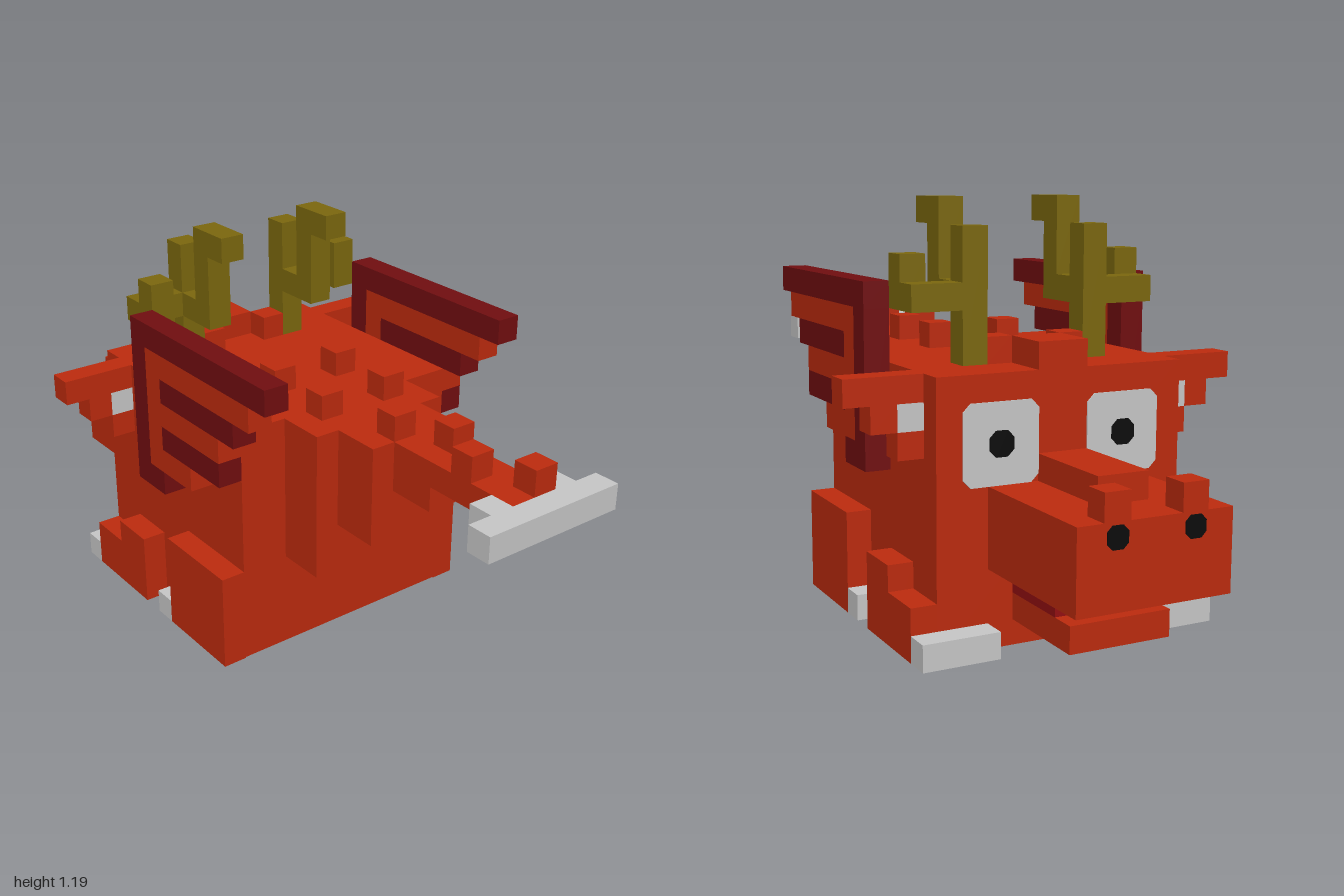
import * as THREE from 'three';

const U = 2 / 27; // size of one block
const mat = (name, color) => {
  const m = new THREE.MeshStandardMaterial({ color });
  m.name = name;
  return m;
};

export function createModel() {
  const root = new THREE.Group();
  root.name = 'blockDragon';
  const red = mat('red', 0xbe2b0e), wine = mat('wine', 0x720e10), mouthRed = mat('mouth red', 0x940f12);
  const gold = mat('olive gold', 0x7c680e), grey = mat('light grey', 0xc8c8c8), black = mat('black', 0x0c0c0c);

  const group = (name, parent = root) => {
    const g = new THREE.Group();
    g.name = name;
    parent.add(g);
    return g;
  };

  // Box between block coordinates; x counts from the nose, y from the ground, z from the middle
  const box = (parent, name, m, x0, x1, y0, y1, z0, z1) => {
    const mesh = new THREE.Mesh(new THREE.BoxGeometry((x1 - x0) * U, (y1 - y0) * U, (z1 - z0) * U), m);
    mesh.position.set(((x0 + x1) / 2 - 13.5) * U, (y0 + y1) / 2 * U, (z0 + z1) / 2 * U);
    mesh.name = name;
    parent.add(mesh);
  };

  // Thin plate with cut corners, facing the nose end
  const plate = (parent, name, m, x, y, z, size, cut, lift) => {
    const h = size / 2 * U, k = h - cut * U;
    const shape = new THREE.Shape([[h, -k], [h, k], [k, h], [-k, h], [-h, k], [-h, -k], [-k, -h], [k, -h]]
      .map(([a, b]) => new THREE.Vector2(a, b)));
    const geo = new THREE.ExtrudeGeometry(shape, { depth: lift, bevelEnabled: false });
    geo.rotateY(-Math.PI / 2);
    const mesh = new THREE.Mesh(geo, m);
    mesh.position.set((x - 13.5) * U, y * U, z * U);
    mesh.name = name;
    parent.add(mesh);
  };

  // Body, stepping up into the tail
  const body = group('body');
  box(body, 'torso', red, 6, 16, 0.04, 10, -5, 5);
  box(body, 'rump', red, 16, 18, 4, 10, -3, 3);
  const tail = group('tail');
  box(tail, 'tailRoot', red, 18, 20, 6, 10, -2, 2);
  box(tail, 'tailMiddle', red, 20, 22, 8, 10, -1, 1);
  box(tail, 'tailEnd', red, 22, 26, 9, 10, -1, 1);
  box(tail, 'tailBlade', grey, 26, 27, 9, 10, -3, 3);

  // Staggered spikes along the tail
  [19, 21, 23, 25].forEach((x, i) => {
    const z = i % 2 ? -1 : 0;
    box(tail, 'tailSpike', red, x, x + 1, 10, 11, z, z + 1);
  });

  // Head
  const head = group('head');
  box(head, 'snout', red, 0, 6, 3, 6, -3, 3);
  box(head, 'snoutRidge', red, 2, 6, 6, 7, -1, 1);
  box(head, 'browRidge', red, 6, 8, 10, 11, -1, 1);
  box(head, 'mouth', mouthRed, 3, 6, 2, 3, -2, 2);
  box(head, 'lowerJaw', red, 2, 6, 1, 2, -2, 2);

  // Everything that comes in pairs
  for (const s of [1, -1]) {
    const side = s > 0 ? 'left' : 'right';
    const pair = (p, name, m, x0, x1, y0, y1, z0, z1) =>
      box(p, name, m, x0, x1, y0, y1, Math.min(s * z0, s * z1), Math.max(s * z0, s * z1));

    pair(tail, 'tailBladeBarb', grey, 25, 26, 9, 10, 1, 2);
    for (const x of [8, 13, 16]) pair(body, 'backSpike', red, x, x + 1, 10, 11, 1, 2);

    // Face
    pair(head, 'nostrilBump', red, 0, 1, 6, 7, 1, 2);
    plate(head, 'nostril', black, 0, 5.5, s * 1.5, 0.8, 0.2, 0.004);
    plate(head, 'eye', grey, 6, 7.5, s * 2.5, 3, 0.3, 0.004);
    plate(head, 'pupil', black, 6, 7.5, s * 2.5, 0.95, 0.25, 0.008);

    // Ear
    const ear = group(side + 'Ear', head);
    pair(ear, 'earBase', red, 7, 8, 7, 8, 5, 6);
    pair(ear, 'innerEar', grey, 7, 8, 8, 9, 5, 6);
    pair(ear, 'earTop', red, 7, 8, 9, 10, 5, 8);
    pair(ear, 'earLobe', red, 7, 8, 8, 9, 6, 7);

    // Antler
    const antler = group(side + 'Antler', head);
    pair(antler, 'antlerPost', gold, 8, 9, 10, 15, 2, 3);
    pair(antler, 'antlerBar', gold, 9, 11, 12, 13, 2, 3);
    pair(antler, 'antlerRearPost', gold, 10, 11, 13, 16, 2, 3);
    pair(antler, 'antlerTip', gold, 11, 12, 15, 16, 2, 3);
    pair(antler, 'antlerSideBar', gold, 8, 9, 12, 13, 3, 5);
    pair(antler, 'antlerSideTip', gold, 9, 10, 12, 14, 4, 5);

    // Legs and claws
    const legs = group(side + 'Legs');
    pair(legs, 'frontFoot', red, 6, 8, 0, 2, 5, 6);
    pair(legs, 'frontLeg', red, 8, 10, 0, 3, 5, 6);
    pair(legs, 'frontClaw', grey, 5, 6, 0, 1, 3, 6);
    pair(legs, 'backLeg', red, 12, 16, 0, 4, 5, 6);
    pair(legs, 'backClaw', grey, 11, 12, 0, 1, 3, 6);

    // Wing: dark frame and fingers with red membrane between
    const wing = group(side + 'Wing');
    pair(wing, 'wingTopEdge', wine, 10, 19, 12, 13, 5, 6);
    pair(wing, 'wingFrontEdge', wine, 10, 11, 6, 12, 5, 6);
    pair(wing, 'wingLowerEdge', wine, 11, 12, 6, 7, 5, 6);
    pair(wing, 'wingUpperFinger', wine, 12, 17, 10, 11, 5, 6);
    pair(wing, 'wingLowerFinger', wine, 12, 16, 8, 9, 5, 6);
    pair(wing, 'membraneFront', red, 11, 12, 7, 12, 5, 6);
    pair(wing, 'membraneTop', red, 12, 18, 11, 12, 5, 6);
    pair(wing, 'membraneMiddle', red, 12, 16, 9, 10, 5, 6);
    pair(wing, 'membraneBottom', red, 12, 14, 7, 8, 5, 6);
  }
  return root;
}
